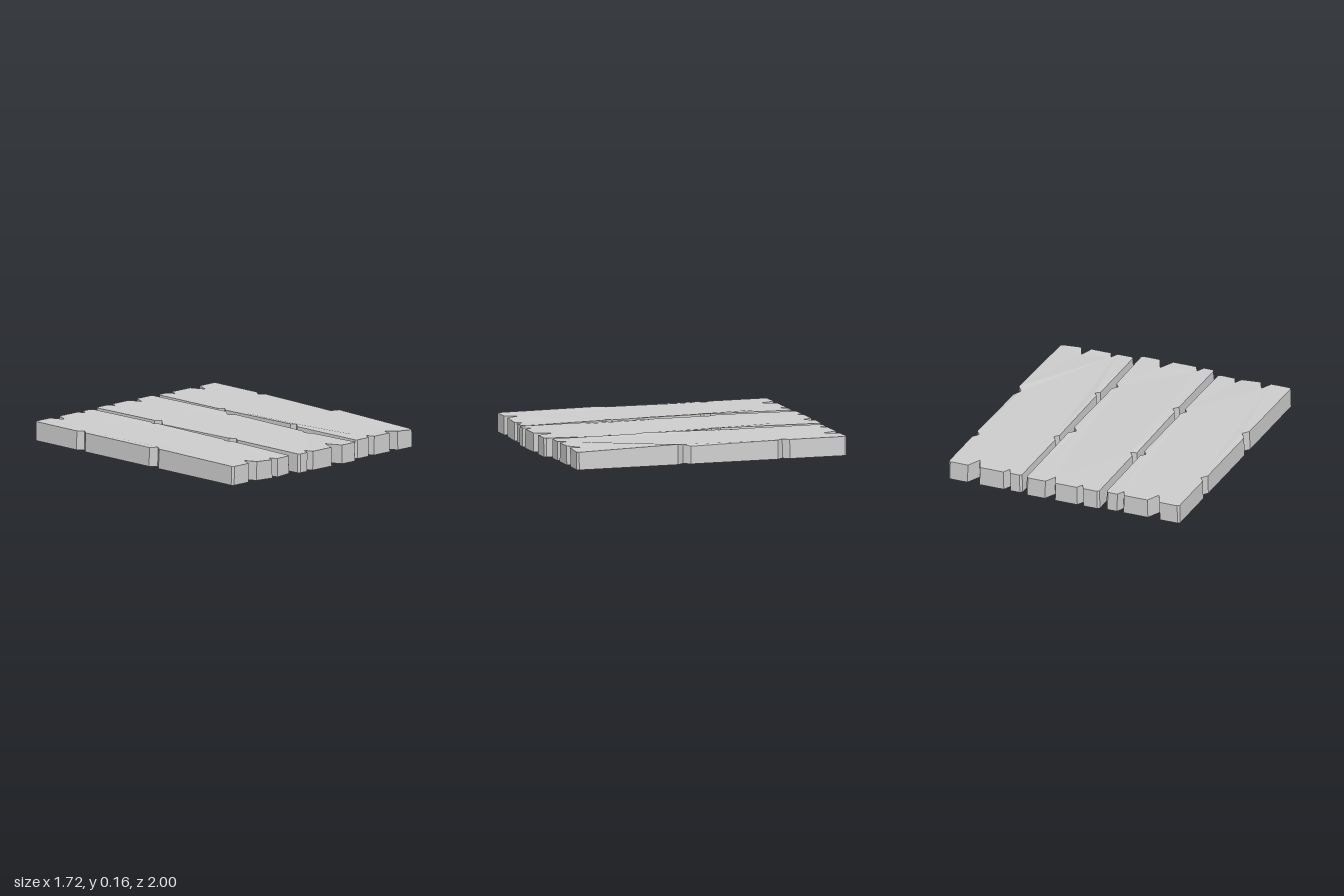
import * as THREE from 'three';

const material = new THREE.MeshStandardMaterial({ color: 0xcccccc, flatShading: true });
const BOTTOM = 0.02, TOP = 0.152, CLIP = 0.014, TAPER = 0.004;

// Notches are [tip position along the edge, depth]
const sidePlank = {
  x: [0.311, 0.86], z: [-0.985, 0.957],
  back: [[0.42, 0.055], [0.67, 0.1]],
  outer: [[-0.53, 0.033], [0.185, 0.036]],
  front: [[0.457, 0.057], [0.672, 0.085]],
  inner: [[-0.36, 0.028], [0.345, 0.026]],
};
const middlePlank = {
  x: [-0.27, 0.277], z: [-1, 0.997],
  back: [[-0.13, 0.05], [0.095, 0.085]],
  outer: [[-0.22, 0.04], [0.52, 0.03]],
  front: [[-0.165, 0.06], [0.093, 0.11]],
  inner: [[-0.38, 0.03], [0.35, 0.03]],
};

// V-shaped cuts along one edge, as [position, depth]
const cuts = (notches, spread) => notches.flatMap(([tip, depth]) => [
  [tip - depth * spread, 0], [tip, depth], [tip + depth * spread, 0],
]);

// Plank outline with clipped corners, as Vector2(x, -z)
function outline({ x: [x0, x1], z: [z0, z1], back, outer, front, inner }) {
  const edge = (from, to, row, place) =>
    [[from + CLIP, 0], ...row, [to - CLIP, 0]].map(([t, d]) => place(t, d));
  return [
    ...edge(x0, x1, cuts(back, 0.45), (t, d) => new THREE.Vector2(t, -z0 - d)),
    ...edge(z0, z1, cuts(outer, 1.3), (t, d) => new THREE.Vector2(x1 - d, -t)),
    ...edge(x0, x1, cuts(front, 0.45), (t, d) => new THREE.Vector2(t, d - z1)).reverse(),
    ...edge(z0, z1, cuts(inner, 1.3), (t, d) => new THREE.Vector2(x0 + d, -t)).reverse(),
  ];
}

// Warps are [x, z, change of top height]; the sag lowers the underside at one place
function buildPlank(name, plank, side, warps, sag) {
  const points = outline(plank);
  for (const point of points) point.x *= side;
  const geometry = new THREE.ExtrudeGeometry(new THREE.Shape(points), { depth: 1, bevelEnabled: false });
  geometry.rotateX(-Math.PI / 2);

  // Uneven hand-cut faces: shift nearby corners and narrow the top slightly
  const position = geometry.attributes.position;
  const middle = side * (plank.x[0] + plank.x[1]) / 2;
  for (let i = 0; i < position.count; i++) {
    const x = position.getX(i), z = position.getZ(i);
    const isTop = position.getY(i) > 0.5;
    let y = isTop ? TOP : BOTTOM;
    for (const [wx, wz, change] of isTop ? warps : [sag]) {
      if (Math.hypot(x - wx, z - wz) < 0.055) y += change;
    }
    position.setY(i, y);
    if (isTop) position.setX(i, x - Math.sign(x - middle) * TAPER);
  }
  geometry.computeVertexNormals();
  const mesh = new THREE.Mesh(geometry, material);
  mesh.name = name;
  return mesh;
}

export function createModel() {
  const model = new THREE.Group();
  model.name = 'plankFloor';
  model.add(
    buildPlank('rightPlank', sidePlank, -1,
      [[-0.33, 0.95, -0.008], [-0.46, 0.92, -0.01], [-0.83, 0.19, 0.005], [-0.33, -0.36, 0.005]],
      [-0.46, 0.92, -0.007]),
    buildPlank('middlePlank', middlePlank, 1,
      [[-0.26, -0.41, 0.005], [-0.26, -0.32, -0.01], [0.27, -0.27, 0.006], [0.25, 0.52, -0.008]],
      [-0.26, 0.35, -0.004]),
    buildPlank('leftPlank', sidePlank, 1,
      [[0.86, 0.235, 0.008], [0.86, 0.13, -0.01], [0.32, 0.3, 0.008], [0.84, 0.95, -0.01], [0.67, 0.9, -0.008]],
      [0.32, -0.36, -0.02]),
  );
  return model;
}
